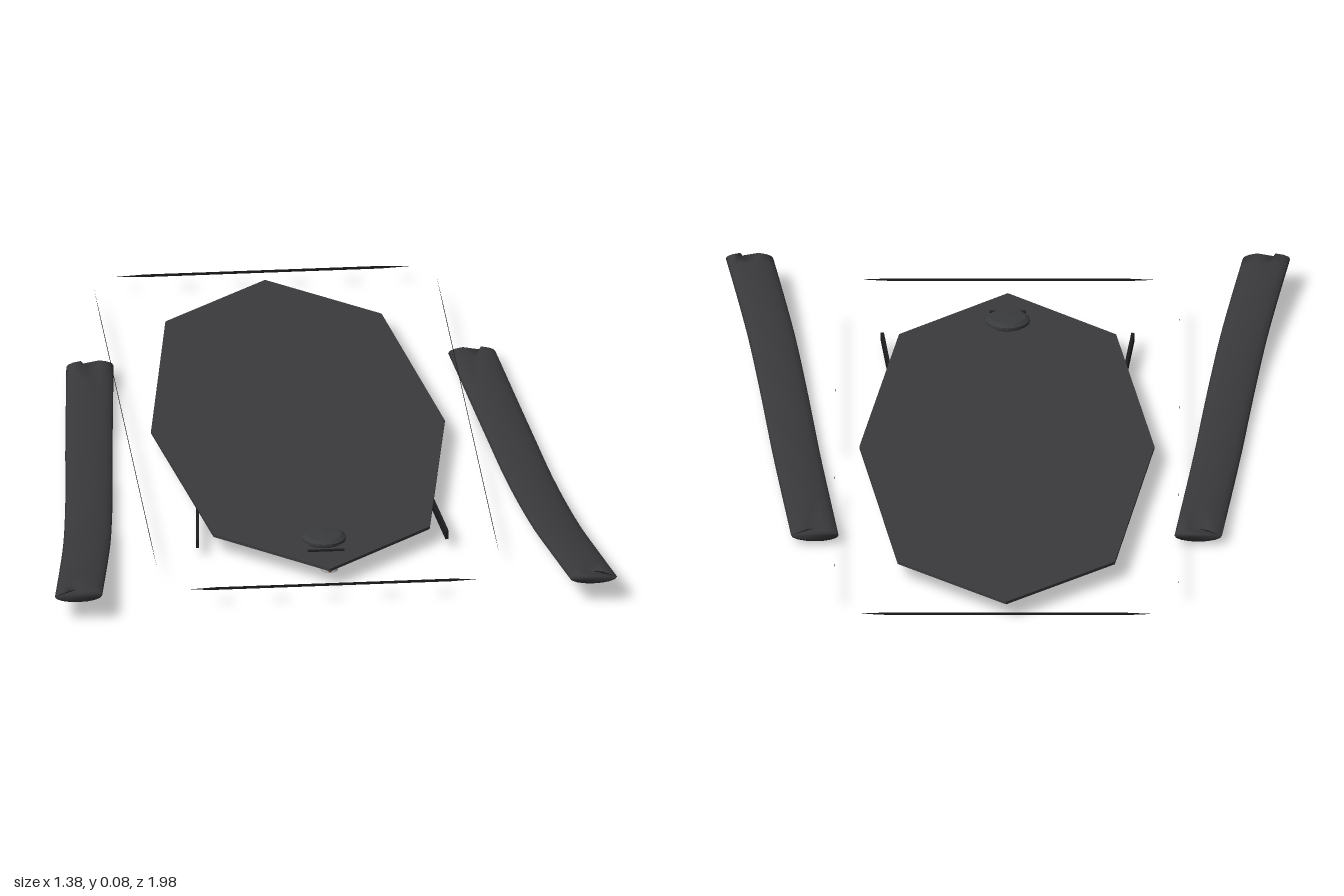
import * as THREE from 'three';

const mat = (color) => new THREE.MeshStandardMaterial({ color, side: THREE.DoubleSide, flatShading: true });
const smooth = (color) => new THREE.MeshStandardMaterial({ color, side: THREE.DoubleSide });

// Closed outline from [x, z] points, as a flat slab lying between y0 and y1
function slab(points, y0, y1, material) {
  const shape = new THREE.Shape(points.map(([x, z]) => new THREE.Vector2(x, -z)));
  const geo = new THREE.ExtrudeGeometry(shape, { depth: y1 - y0, bevelEnabled: false });
  geo.rotateX(-Math.PI / 2).translate(0, y0, 0);
  return new THREE.Mesh(geo, material);
}

// Thin upright strip that tapers to a point at both ends
function strip(a, b, height, material) {
  const h = height / 2, s = (b - a) * 0.1;
  const shape = new THREE.Shape([[a, 0], [a + s, -h], [b - s, -h], [b, 0], [b - s, h], [a + s, h]]
    .map(([x, y]) => new THREE.Vector2(x, y)));
  return new THREE.Mesh(new THREE.ShapeGeometry(shape), material);
}

// Lens section swept along the rail, notched at the middle of both end edges
function railGeometry() {
  const path = new THREE.CatmullRomCurve3([
    [0.468, 0.025, -0.49], [0.515, 0.017, 0], [0.542, 0.02, 0.3], [0.574, 0.036, 0.6], [0.6, 0.052, 0.79], [0.631, 0.069, 1],
  ].map((p) => new THREE.Vector3(...p)));
  const rows = 24, sides = 16, pos = [], idx = [];
  for (let i = 0; i <= rows; i++) {
    const p = path.getPoint(i / rows);
    const end = i === 0 ? 1 : i === rows ? -1 : 0;
    for (let j = 0; j < sides; j++) {
      const a = (j / sides) * Math.PI * 2;
      const notch = end && j === sides / 4;
      pos.push(p.x + 0.058 * Math.cos(a), p.y + Math.sin(a) * (notch ? 0 : 0.016), p.z + (notch ? end * 0.04 : 0));
      if (i < rows) {
        const k = (j + 1) % sides, b = i * sides, t = b + sides;
        idx.push(b + j, t + k, t + j, b + j, b + k, t + k);
      }
    }
  }
  // End caps
  for (let j = 1; j < sides - 1; j++) {
    const t = rows * sides;
    idx.push(0, j + 1, j, t, t + j, t + j + 1);
  }
  const geo = new THREE.BufferGeometry();
  geo.setAttribute('position', new THREE.Float32BufferAttribute(pos, 3));
  geo.setIndex(idx);
  geo.computeVertexNormals();
  return geo;
}

export function createModel() {
  const model = new THREE.Group();
  const add = (mesh, name, x = 0, y = 0, z = 0) => {
    mesh.name = name;
    mesh.position.set(x, y, z);
    model.add(mesh);
    return mesh;
  };
  const dark = mat(0x3a3b3d), black = mat(0x1c1c1e), metal = smooth(0x9a9a9a);

  // Eight-sided deck
  add(slab([[0, 0.845], [0.265, 0.61], [0.36, -0.03], [0.265, -0.69], [0, -0.92],
    [-0.265, -0.69], [-0.36, -0.03], [-0.265, 0.61]], 0.042, 0.049, dark), 'deck');

  // Stringer under the deck with its row of bolts
  add(slab([[0, 0.84], [0.08, 0.68], [0.08, -0.66], [0, -0.81], [-0.08, -0.66], [-0.08, 0.68]],
    0.037, 0.042, mat(0x6e3018)), 'stringer');
  for (const z of [-0.64, -0.33, -0.02, 0.29, 0.6, 0.81]) {
    add(new THREE.Mesh(new THREE.CylinderGeometry(0.018, 0.022, 0.006, 12), metal), 'bolt', 0, 0.035, z);
    add(new THREE.Mesh(new THREE.CylinderGeometry(0.008, 0.008, 0.008, 6), black), 'boltCore', 0, 0.0345, z);
  }

  // Rounded knobs above and below the nose
  const profile = [[0, 0], [0.045, 0], [0.054, 0.006], [0.054, 0.013], [0.044, 0.02], [0, 0.023]]
    .map(([x, y]) => new THREE.Vector2(x, y));
  const knobGeo = new THREE.LatheGeometry(profile, 20);
  add(new THREE.Mesh(knobGeo, dark), 'topKnob', 0, 0.048, 0.672);
  const lower = add(new THREE.Mesh(knobGeo, black), 'lowerKnob', 0, 0.032, 0.672);
  lower.rotation.x = Math.PI;
  add(new THREE.Mesh(new THREE.CylinderGeometry(0.025, 0.025, 0.03, 12), black), 'knobStem', 0, 0.035, 0.672);
  add(new THREE.Mesh(new THREE.BoxGeometry(0.09, 0.006, 0.008), black), 'noseSlot', 0, 0.049, 0.735);

  // Thin tapered strips framing the deck
  add(strip(-0.36, 0.36, 0.007, black), 'frontStrip', 0, 0.045, 0.93);
  add(strip(-0.36, 0.36, 0.007, black), 'backStrip', 0, 0.045, -0.98);

  const railGeo = railGeometry();
  const railMat = smooth(0x39393c);
  for (const s of [1, -1]) {
    const side = s > 0 ? 'left' : 'right';
    // Upswept side rail
    add(new THREE.Mesh(railGeo, railMat), side + 'Rail').scale.x = s;
    add(strip(-0.79, 0.91, 0.007, black), side + 'Strip', s * 0.42, 0.045, 0).rotation.y = Math.PI / 2;
    // Three staggered, splayed fins
    for (const [x, z] of [[0.296, 0.52], [0.236, 0.29], [0.177, 0.06]]) {
      const fin = add(new THREE.Mesh(new THREE.BoxGeometry(0.008, 0.022, 0.22), black), side + 'Fin', s * x, 0.033, z);
      fin.rotation.y = s * 0.09;
    }
  }
  return model;
}
